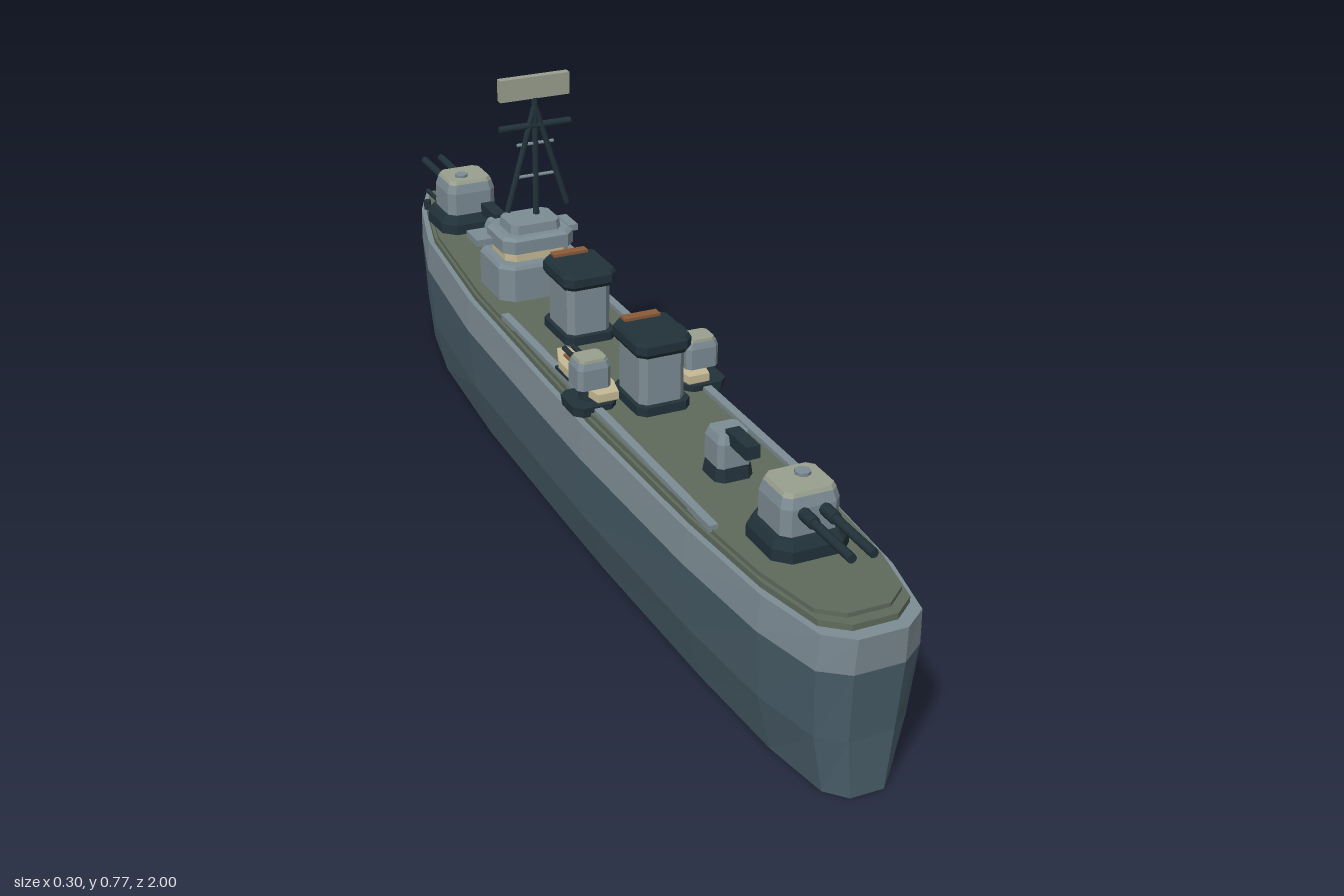
import * as THREE from 'three';

const paint = (name, color) => Object.assign(new THREE.MeshStandardMaterial({ color }), { name });
const M = {
  hull: paint('slate lower hull', 0x4a5f6b),
  grey: paint('naval grey', 0x7d8c94),
  deck: paint('deck green', 0x5f6b5c),
  dark: paint('dark steel', 0x22323a),
  roof: paint('pale olive', 0x9aa08f),
  tan: paint('boat tan', 0xc6ba94),
  rust: paint('rust brown', 0x8a5a38),
};

// Stacks scaled copies of a convex ring ([x, z], from +x towards +z) at levels [y, scaleX, scaleZ]
function loft(ring, levels) {
  const pos = [];
  const n = ring.length;
  const pt = (i, [y, sx, sz = sx]) => [ring[i % n][0] * sx, y, ring[i % n][1] * sz];
  const tri = (...p) => p.forEach((q) => pos.push(...q));
  for (let i = 0; i < n; i++) {
    for (let k = 0; k + 1 < levels.length; k++) {
      const a = pt(i, levels[k]), b = pt(i + 1, levels[k]);
      const c = pt(i, levels[k + 1]), d = pt(i + 1, levels[k + 1]);
      tri(a, c, b);
      tri(b, c, d);
    }
    const low = levels[0], top = levels[levels.length - 1];
    tri([0, low[0], 0], pt(i, low), pt(i + 1, low));
    tri([0, top[0], 0], pt(i + 1, top), pt(i, top));
  }
  const g = new THREE.BufferGeometry();
  g.setAttribute('position', new THREE.Float32BufferAttribute(pos, 3));
  g.computeVertexNormals();
  return g;
}

// Rectangle ring with cut corners; w and d are half sizes
const cut = (w, d, c) => [[w, -d + c], [w, d - c], [w - c, d], [-w + c, d],
  [-w, d - c], [-w, -d + c], [-w + c, -d], [w - c, -d]];

function add(parent, name, geo, mat, x = 0, y = 0, z = 0) {
  const m = new THREE.Mesh(geo, mat);
  m.name = name;
  m.position.set(x, y, z);
  parent.add(m);
  return m;
}
const box = (p, name, mat, w, h, d, x, y, z) => add(p, name, new THREE.BoxGeometry(w, h, d), mat, x, y, z);

function rod(p, name, mat, a, b, r, sides = 8) {
  const A = new THREE.Vector3(...a), B = new THREE.Vector3(...b);
  const m = add(p, name, new THREE.CylinderGeometry(r, r, A.distanceTo(B), sides), mat);
  m.position.copy(A).lerp(B, 0.5);
  m.quaternion.setFromUnitVectors(new THREE.Vector3(0, 1, 0), B.sub(A).normalize());
  return m;
}

function group(parent, name, x, y, z, turn = 0) {
  const g = new THREE.Group();
  g.name = name;
  g.position.set(x, y, z);
  g.rotation.y = turn;
  parent.add(g);
  return g;
}

// Twin gun turret, barrels towards +z
function mainGun(parent, name, z, turn) {
  const g = group(parent, name, 0, 0.324, z, turn);
  add(g, 'gunBase', loft(cut(0.07, 0.068, 0.025), [[0, 1], [0.022, 1], [0.038, 0.88]]), M.dark);
  add(g, 'turret', loft(cut(0.053, 0.05, 0.014), [[0.036, 1], [0.085, 1], [0.104, 0.9]]), M.grey);
  add(g, 'turretRoof', loft(cut(0.048, 0.045, 0.012), [[0.103, 1], [0.111, 0.92]]), M.roof);
  add(g, 'hatch', new THREE.CylinderGeometry(0.014, 0.014, 0.007, 8), M.grey, 0.012, 0.113, -0.012);
  for (const s of [-1, 1]) {
    rod(g, 'barrelSleeve', M.dark, [s * 0.019, 0.077, 0.04], [s * 0.019, 0.077, 0.085], 0.011);
    rod(g, 'barrel', M.dark, [s * 0.019, 0.077, 0.05], [s * 0.019, 0.077, 0.2], 0.008);
  }
}

// Small deck gun, barrel towards +z
function smallGun(parent, name, z, turn) {
  const g = group(parent, name, 0, 0.324, z, turn);
  add(g, 'gunBase', loft(cut(0.036, 0.036, 0.013), [[0, 1], [0.026, 0.9]]), M.dark);
  add(g, 'gunHouse', loft(cut(0.032, 0.032, 0.009), [[0.025, 1], [0.07, 1], [0.084, 0.85]]), M.grey);
  box(g, 'barrelBlock', M.dark, 0.026, 0.024, 0.075, 0, 0.08, 0.052);
}

function funnel(parent, name, z) {
  const g = group(parent, name, 0, 0.324, z);
  add(g, 'funnelBase', loft(cut(0.052, 0.064, 0.014), [[0, 1], [0.018, 1]]), M.dark);
  add(g, 'funnelBody', loft(cut(0.044, 0.053, 0.012), [[0.016, 1], [0.116, 1]]), M.grey);
  add(g, 'funnelCap', loft(cut(0.054, 0.064, 0.015), [[0.112, 0.92], [0.12, 1], [0.136, 1], [0.143, 0.93]]), M.dark);
  box(g, 'funnelVent', M.rust, 0.07, 0.007, 0.02, 0, 0.145, -0.048);
}

// Ship's boat with a gun platform beside it
function sideStation(parent, s) {
  const g = group(parent, s > 0 ? 'leftStation' : 'rightStation', 0, 0, 0);
  const ring = [[0.028, -0.055], [0.03, 0.06], [0.02, 0.105], [-0.02, 0.105], [-0.03, 0.06],
    [-0.028, -0.055], [-0.01, -0.105], [0.01, -0.105]];
  add(g, 'boat', loft(ring, [[0.335, 0.7, 0.85], [0.345, 1], [0.36, 1]]), M.tan, s * 0.09, 0, 0.095);
  box(g, 'boatCradle', M.dark, 0.05, 0.014, 0.15, s * 0.09, 0.331, 0.09);
  box(g, 'boatWell', M.rust, 0.024, 0.006, 0.1, s * 0.09, 0.361, 0.075);
  add(g, 'platform', loft(cut(0.043, 0.042, 0.015), [[0.318, 0.95], [0.337, 1]]), M.dark, s * 0.109, 0, 0.155);
  add(g, 'pedestal', new THREE.CylinderGeometry(0.018, 0.022, 0.04, 8), M.dark, s * 0.108, 0.35, 0.155);
  add(g, 'gunShield', loft(cut(0.032, 0.028, 0.008), [[0.363, 1], [0.402, 1], [0.414, 0.88]]), M.grey, s * 0.107, 0, 0.155);
  add(g, 'shieldRoof', loft(cut(0.027, 0.023, 0.007), [[0.413, 1], [0.419, 0.95]]), M.roof, s * 0.107, 0, 0.155);
  for (const x of [0.098, 0.116]) rod(g, 'lightBarrel', M.dark, [s * x, 0.395, 0.14], [s * x, 0.395, 0.062], 0.005);
}

function mast(parent) {
  const g = group(parent, 'mast', 0, 0, -0.347);
  rod(g, 'pole', M.dark, [0, 0.49, 0], [0, 0.73, 0], 0.0065);
  for (const s of [-1, 1]) rod(g, 'mastLeg', M.dark, [s * 0.063, 0.505, 0.006], [0, 0.715, 0], 0.006);
  rod(g, 'yard', M.dark, [-0.074, 0.674, 0], [0.074, 0.674, 0], 0.007);
  rod(g, 'upperBrace', M.grey, [-0.038, 0.637, 0], [0.038, 0.637, 0], 0.0035);
  rod(g, 'lowerBrace', M.grey, [-0.042, 0.571, 0], [0.042, 0.571, 0], 0.0035);
  box(g, 'radarPanel', M.roof, 0.144, 0.044, 0.016, 0, 0.751, -0.004);
}

function bridge(parent) {
  const g = group(parent, 'bridge', 0, 0, -0.382);
  add(g, 'bridgeBase', loft(cut(0.088, 0.075, 0.025), [[0.324, 1], [0.392, 1], [0.4, 0.95]]), M.grey);
  add(g, 'wheelhouse', loft(cut(0.068, 0.052, 0.018), [[0.398, 1], [0.424, 1]]), M.tan);
  box(g, 'bridgeWings', M.grey, 0.218, 0.013, 0.06, 0, 0.426, -0.04);
  add(g, 'bridgeRoof', loft(cut(0.076, 0.062, 0.02), [[0.42, 1], [0.446, 1], [0.452, 0.9]]), M.grey);
  add(g, 'lookout', loft(cut(0.054, 0.042, 0.012), [[0.45, 1], [0.47, 0.95]]), M.grey);
}

export function createModel() {
  const ship = new THREE.Group();
  ship.name = 'warship';

  // Hull outline, left side from bow to stern, then mirrored
  const side = [[0.05, -0.9], [0.1, -0.725], [0.133, -0.4], [0.143, 0], [0.146, 0.2],
    [0.138, 0.6], [0.122, 0.83], [0.092, 0.965], [0.045, 1]];
  const outline = [[0, -1], ...side, ...side.map(([x, z]) => [-x, z]).reverse()];
  add(ship, 'lowerHull', loft(outline, [[0, 0.675, 0.98], [0.11, 0.9, 0.983], [0.24, 1, 0.995]]), M.hull);
  add(ship, 'upperHull', loft(outline, [[0.24, 1, 0.995], [0.306, 0.96, 1]]), M.grey);
  add(ship, 'deckEdge', loft(outline, [[0.304, 0.88, 0.975], [0.317, 0.88, 0.975]]), M.deck);
  add(ship, 'deck', loft(outline, [[0.316, 0.84, 0.955], [0.325, 0.84, 0.955]]), M.deck);

  // Side walkways
  for (const s of [-1, 1]) box(ship, 'walkway', M.grey, 0.016, 0.012, 0.9, s * 0.108, 0.327, 0.2);

  // Bow fittings
  box(ship, 'windlass', M.grey, 0.05, 0.02, 0.035, 0, 0.333, -0.85);
  for (const s of [-1, 1]) {
    box(ship, 'anchorChain', M.dark, 0.008, 0.006, 0.1, s * 0.014, 0.327, -0.905);
    for (const z of [-0.865, -0.83]) {
      add(ship, 'bollard', new THREE.CylinderGeometry(0.008, 0.008, 0.02, 8), M.dark, s * 0.046, 0.33, z);
    }
  }

  mainGun(ship, 'forwardTurret', -0.75, Math.PI);
  mainGun(ship, 'aftTurret', 0.73, 0);
  smallGun(ship, 'forwardDeckGun', -0.53, Math.PI);
  smallGun(ship, 'aftDeckGun', 0.487, 0);
  bridge(ship);
  mast(ship);
  funnel(ship, 'forwardFunnel', -0.135);
  funnel(ship, 'aftFunnel', 0.187);
  for (const s of [-1, 1]) sideStation(ship, s);
  return ship;
}
